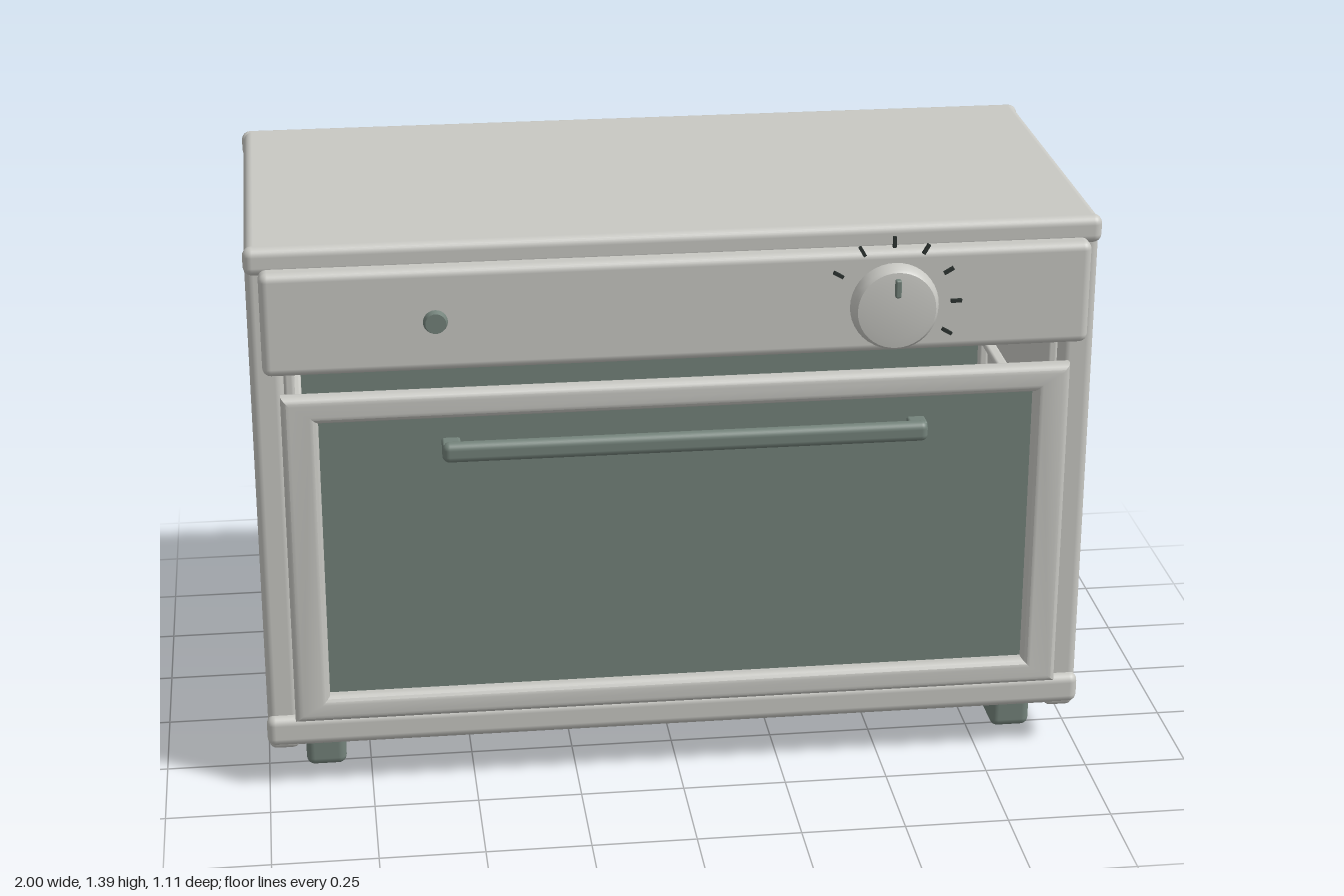
import * as THREE from 'three';
import { toCreasedNormals } from 'three/addons/utils/BufferGeometryUtils.js';
import { RoundedBoxGeometry } from 'three/addons/geometries/RoundedBoxGeometry.js';

export function createModel() {
  const mat = (name, color) => {
    const m = new THREE.MeshStandardMaterial({ color });
    m.name = name;
    return m;
  };
  const grey = mat('warm grey enamel', 0xc8c8c3);
  const green = mat('grey green', 0x74837b);
  const dark = mat('dark marking', 0x2c3330);

  const oven = new THREE.Group();
  oven.name = 'countertopOven';

  const add = (name, geometry, material, parent = oven) => {
    const mesh = new THREE.Mesh(geometry, material);
    mesh.name = name;
    parent.add(mesh);
    return mesh;
  };
  // Rounded block given by its lower and upper limits on each axis
  const block = (name, material, [x0, x1], [y0, y1], [z0, z1], r = 0.018, parent = oven) => {
    const mesh = add(name, new RoundedBoxGeometry(x1 - x0, y1 - y0, z1 - z0, 3, r), material, parent);
    mesh.position.set((x0 + x1) / 2, (y0 + y1) / 2, (z0 + z1) / 2);
    return mesh;
  };
  // Cylinder or turned shape whose axis points forward
  const facing = (geometry) => geometry.rotateX(Math.PI / 2);

  // Hollow housing
  const housing = new THREE.Group();
  housing.name = 'housing';
  oven.add(housing);
  block('topPanel', grey, [-0.995, 0.995], [1.33, 1.387], [-0.553, 0.388], 0.02, housing);
  block('bottomPanel', grey, [-0.98, 0.98], [0.105, 0.17], [-0.535, 0.365], 0.01, housing);
  block('backPanel', grey, [-0.99, 0.99], [0.1, 1.37], [-0.54, -0.48], 0.015, housing);
  block('topCavityPanel', grey, [-0.93, 0.93], [1.11, 1.34], [-0.5, 0.368], 0.01, housing);
  for (const s of [-1, 1]) {
    const side = block('sidePanel', grey, [0.92, 0.997], [0.097, 1.38], [-0.541, 0.37], 0.02, housing);
    side.position.x *= s;
  }
  // Rounded horizontal rails along the front and back edges
  for (const [z0, z1] of [[0.345, 0.39], [-0.556, -0.511]]) {
    block('topRail', grey, [-1, 1], [1.32, 1.387], [z0, z1], 0.021, housing);
    block('bottomRail', grey, [-1, 1], [0.115, 0.192], [z0, z1], 0.021, housing);
  }

  // Cooking cavity with shelf supports
  const cavity = new THREE.Group();
  cavity.name = 'cavity';
  oven.add(cavity);
  block('cavityBackLiner', green, [-0.92, 0.92], [0.17, 1.11], [-0.48, -0.473], 0.003, cavity);
  for (const s of [-1, 1]) {
    for (const z of [-0.4, 0.32]) {
      const post = block('shelfPost', grey, [0.895, 0.92], [0.17, 1.11], [z - 0.012, z + 0.012], 0.008, cavity);
      post.position.x *= s;
    }
    for (const y of [0.38, 0.6, 0.82]) {
      const guide = block('shelfGuide', grey, [0.88, 0.91], [y - 0.01, y + 0.01], [-0.42, 0.34], 0.008, cavity);
      guide.position.x *= s;
    }
  }

  // Door: softened frame around a recessed window
  const door = new THREE.Group();
  door.name = 'door';
  oven.add(door);
  const rect = (path, x, y0, y1) =>
    path.moveTo(-x, y0).lineTo(x, y0).lineTo(x, y1).lineTo(-x, y1).closePath();
  const bevel = 0.02;
  const frameShape = rect(new THREE.Shape(), 0.93 - bevel, 0.197 + bevel, 1.035 - bevel);
  frameShape.holes.push(rect(new THREE.Path(), 0.845 + bevel, 0.263 - bevel, 0.967 + bevel));
  const frame = new THREE.ExtrudeGeometry(frameShape, {
    depth: 0.01, bevelEnabled: true, bevelSize: bevel, bevelThickness: bevel, bevelSegments: 4,
  });
  add('doorFrame', toCreasedNormals(frame, 0.6), grey, door).position.z = 0.402;
  block('doorWindow', green, [-0.86, 0.86], [0.25, 0.98], [0.39, 0.399], 0.003, door);

  // Handle
  const handle = new THREE.Group();
  handle.name = 'handle';
  oven.add(handle);
  block('handleBar', green, [-0.565, 0.565], [0.907, 0.955], [0.522, 0.556], 0.016, handle);
  for (const s of [-1, 1]) {
    const stub = block('handleStub', green, [0.522, 0.565], [0.91, 0.952], [0.497, 0.54], 0.006, handle);
    stub.position.x *= s;
  }

  // Control panel and indicator lamp
  block('controlPanel', grey, [-0.967, 0.967], [1.088, 1.338], [0.367, 0.43], 0.02);
  const lamp = add('indicatorLamp', facing(new THREE.CylinderGeometry(0.024, 0.031, 0.022, 24)), green);
  lamp.position.set(-0.568, 1.21, 0.434);

  // Turned knob with its pointer and dial marks
  const dial = new THREE.Group();
  dial.name = 'dial';
  dial.position.set(0.495, 1.211, 0);
  oven.add(dial);
  const knobProfile = [[0, 0], [0.1, 0], [0.104, 0.005], [0.104, 0.012], [0.098, 0.036],
    [0.092, 0.042], [0.07, 0.045], [0, 0.047]].map(([x, y]) => new THREE.Vector2(x, y));
  const knob = toCreasedNormals(new THREE.LatheGeometry(knobProfile, 40).toNonIndexed(), 0.6);
  add('knob', facing(knob), grey, dial).position.z = 0.444;
  add('knobShaft', facing(new THREE.CylinderGeometry(0.03, 0.03, 0.03, 20)), green, dial).position.z = 0.438;
  block('knobPointer', green, [-0.007, 0.007], [0.035, 0.078], [0.483, 0.502], 0.004, dial);
  for (let i = 0; i < 7; i++) {
    const a = THREE.MathUtils.degToRad(150 - 30 * i);
    const mark = add('dialMark', new THREE.BoxGeometry(0.026, 0.008, 0.008), dark, dial);
    mark.position.set(0.15 * Math.cos(a), 0.15 * Math.sin(a), 0.435);
    mark.rotation.z = a;
  }

  // Front feet
  for (const s of [-1, 1]) {
    const foot = block('frontFoot', green, [0.81, 0.908], [0, 0.125], [0.1, 0.28], 0.02);
    foot.position.x *= s;
  }

  return oven;
}
